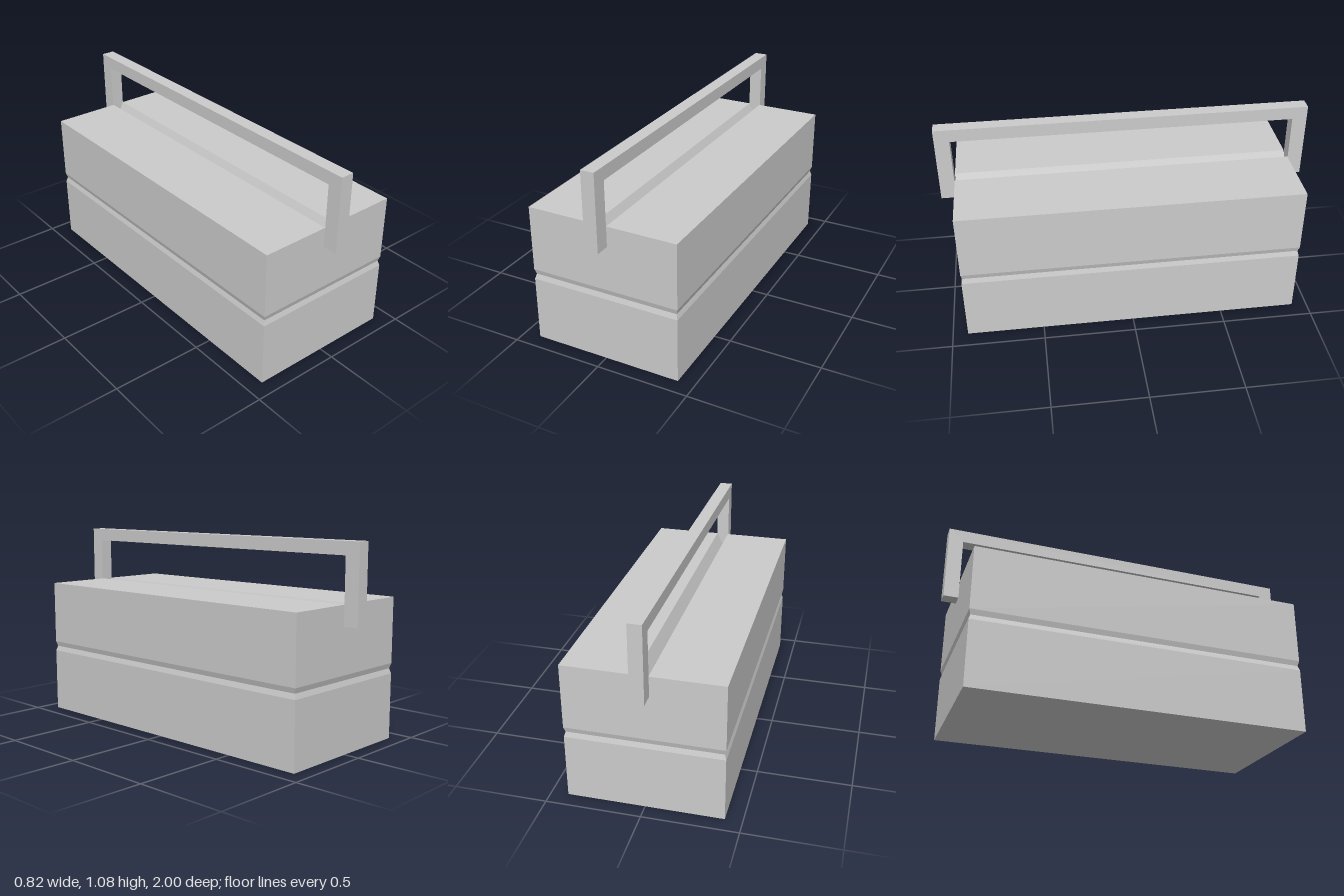
import * as THREE from 'three';

const material = new THREE.MeshStandardMaterial({ color: 0xcccccc, flatShading: true });

// Box whose vertex columns and rows are moved to form the side seam and the top V groove
function bodyGeometry() {
  const columns = [-0.41, -0.034, 0, 0.034, 0.41];
  const rows = [0, 0.355, 0.383, 0.411, 0.765];
  const halfDepth = 0.918, seamDepth = 0.008, grooveDepth = 0.07;
  const geometry = new THREE.BoxGeometry(4, 4, 2, 4, 4, 1);
  const p = geometry.attributes.position;
  for (let i = 0; i < p.count; i++) {
    const c = Math.round(p.getX(i)) + 2;
    const r = Math.round(p.getY(i)) + 2;
    const inset = r === 2 ? seamDepth : 0;
    let x = columns[c], y = rows[r];
    if (c === 0 || c === 4) x -= Math.sign(x) * inset;
    if (c === 2 && r === 4) y -= grooveDepth;
    p.setXYZ(i, x, y, Math.sign(p.getZ(i)) * (halfDepth - inset));
  }
  const flat = geometry.toNonIndexed();
  flat.computeVertexNormals();
  return flat;
}

// Square-cornered arch, drawn lengthwise and extruded across the width
function handleGeometry() {
  const bottom = 0.657, top = 1.075, inner = 0.92, underside = 1.005, width = 0.072;
  const shape = new THREE.Shape([
    [-1, bottom], [-inner, bottom], [-inner, underside], [inner, underside],
    [inner, bottom], [1, bottom], [1, top], [-1, top],
  ].map(([x, y]) => new THREE.Vector2(x, y)));
  const geometry = new THREE.ExtrudeGeometry(shape, { depth: width, bevelEnabled: false });
  geometry.translate(0, 0, -width / 2);
  geometry.rotateY(Math.PI / 2);
  return geometry;
}

export function createModel() {
  const group = new THREE.Group();
  group.name = 'toolbox';
  const parts = { body: bodyGeometry(), handle: handleGeometry() };
  for (const [name, geometry] of Object.entries(parts)) {
    const mesh = new THREE.Mesh(geometry, material);
    mesh.name = name;
    group.add(mesh);
  }
  return group;
}
